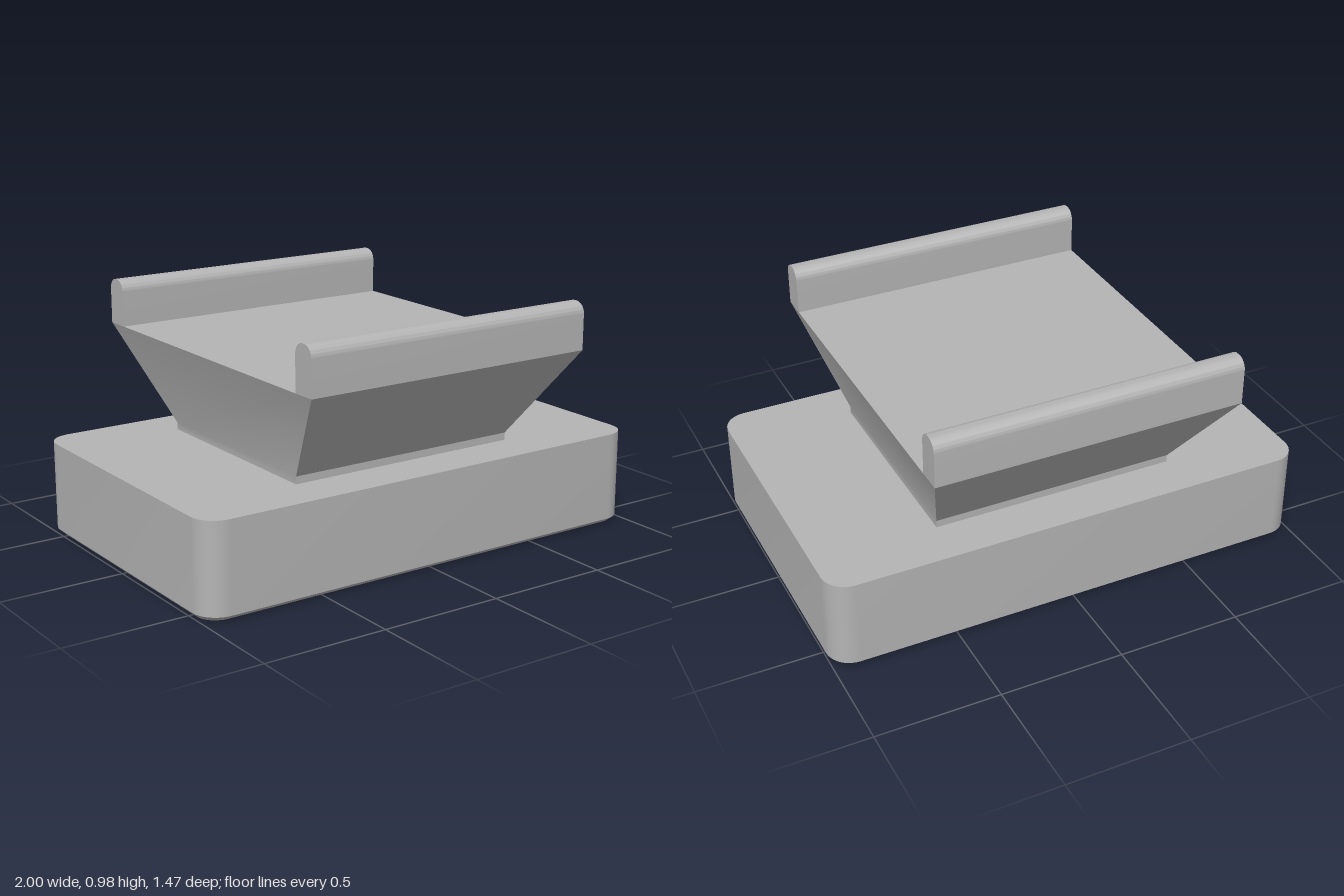
import * as THREE from 'three';
import { toCreasedNormals, mergeGeometries } from 'three/addons/utils/BufferGeometryUtils.js';

// Counter-clockwise outline of a rectangle, with rounded corners when r > 0
function outline(hx, hz, r = 0, steps = 10) {
  const pts = [];
  const corners = [[1, 1], [-1, 1], [-1, -1], [1, -1]];
  corners.forEach(([sx, sy], c) => {
    const n = r > 0 ? steps : 0;
    for (let i = 0; i <= n; i++) {
      const a = (c + (n ? i / n : 0.5)) * Math.PI / 2;
      pts.push(new THREE.Vector2(sx * (hx - r) + r * Math.cos(a), sy * (hz - r) + r * Math.sin(a)));
    }
  });
  return pts;
}

// Side walls joining stacked outlines: levels = [[y, points], ...] from bottom to top
function walls(levels) {
  const pos = [], idx = [];
  const n = levels[0][1].length;
  for (const [y, pts] of levels) for (const p of pts) pos.push(p.x, y, -p.y);
  for (let l = 0; l < levels.length - 1; l++) {
    for (let i = 0; i < n; i++) {
      const a = l * n + i, b = l * n + (i + 1) % n;
      idx.push(a, b, b + n, a, b + n, a + n);
    }
  }
  const g = new THREE.BufferGeometry();
  g.setAttribute('position', new THREE.Float32BufferAttribute(pos, 3));
  g.setIndex(idx);
  return toCreasedNormals(g, 0.4);
}

// Flat horizontal face, looking up or down
function cap(pts, y, up, holes = []) {
  const shape = new THREE.Shape(pts);
  shape.holes = holes.map(h => new THREE.Path(h));
  const g = new THREE.ShapeGeometry(shape).rotateX(up ? -Math.PI / 2 : Math.PI / 2).translate(0, y, 0).toNonIndexed();
  g.deleteAttribute('uv');
  return g;
}

export function createModel() {
  const model = new THREE.Group();
  const grey = new THREE.MeshStandardMaterial({ color: 0xb4b4b4 });
  grey.name = 'grey';

  const add = (name, geometry) => {
    const mesh = new THREE.Mesh(geometry, grey);
    mesh.name = name;
    model.add(mesh);
    return mesh;
  };

  // Base block: rounded corners, chamfered foot, two slots in the underside
  const foot = outline(0.98, 0.605, 0.08);
  const body = outline(1, 0.63, 0.1);
  const slotX = 0.9, slotW = 0.3, slotZ = 0.25, slotDepth = 0.13;
  const slotHoles = [-1, 1].map(s =>
    outline(slotX, slotW / 2).map(p => new THREE.Vector2(p.x, p.y + s * slotZ)).reverse());
  add('base', mergeGeometries([
    walls([[0, foot], [0.02, body], [0.38, body]]),
    cap(body, 0.38, true),
    cap(foot, 0, false, slotHoles),
  ]));

  // Slot recesses: boxes turned inside out and open at the bottom
  for (const s of [-1, 1]) {
    const g = new THREE.BoxGeometry(slotX * 2, slotDepth, slotW);
    const idx = Array.from(g.index.array);
    idx.splice(18, 6);
    g.setIndex(idx.reverse());
    const n = g.attributes.normal;
    for (let i = 0; i < n.count; i++) n.setXYZ(i, -n.getX(i), -n.getY(i), -n.getZ(i));
    add('undersideSlot', g).position.set(0, slotDepth / 2, s * slotZ);
  }

  // Short neck flaring out to the cradle floor
  const neck = outline(0.5, 0.44);
  const floor = outline(0.628, 0.735);
  add('cradle', mergeGeometries([
    walls([[0.38, neck], [0.41, neck], [0.79, floor]]),
    cap(floor, 0.79, true),
  ]));

  // Upright lips with rounded tops, front and back
  const lip = new THREE.Shape();
  const w = 0.05, h = 0.188, r = 0.045;
  lip.moveTo(-w, 0);
  lip.lineTo(w, 0);
  lip.lineTo(w, h - r);
  lip.absarc(w - r, h - r, r, 0, Math.PI / 2);
  lip.lineTo(-w + r, h);
  lip.absarc(-w + r, h - r, r, Math.PI / 2, Math.PI);
  lip.closePath();
  const lipGeometry = toCreasedNormals(
    new THREE.ExtrudeGeometry(lip, { depth: 1.256, bevelEnabled: false, curveSegments: 10 })
      .translate(0, 0, -0.628).rotateY(Math.PI / 2), 0.5);
  for (const [name, s] of [['frontLip', 1], ['backLip', -1]]) {
    add(name, lipGeometry).position.set(0, 0.79, s * 0.685);
  }

  return model;
}
